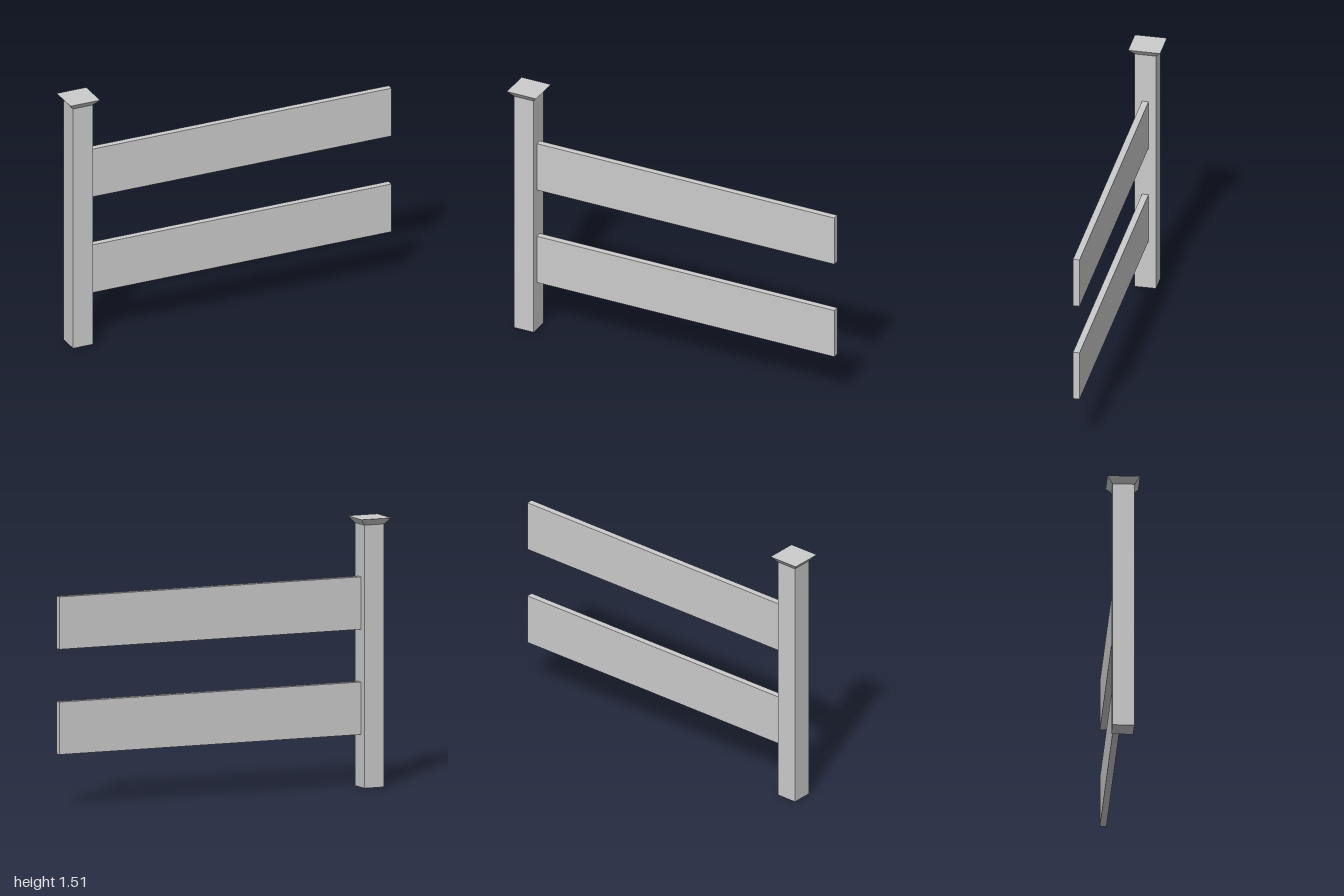
import * as THREE from 'three';

const material = new THREE.MeshStandardMaterial({ color: 0xcccccc, flatShading: true });

export function createModel() {
  const model = new THREE.Group();
  model.name = 'fenceSection';

  const add = (name, geometry, x, y) => {
    const mesh = new THREE.Mesh(geometry, material);
    mesh.name = name;
    mesh.position.set(x, y, 0);
    model.add(mesh);
  };

  const postX = -0.909, postWidth = 0.122, postHeight = 1.473;
  const capWidth = 0.182, capHeight = 0.036;

  // Square post
  add('post', new THREE.BoxGeometry(postWidth, postHeight, postWidth), postX, postHeight / 2);

  // Flared cap: a four-sided frustum, wider at its flat top
  const cap = new THREE.CylinderGeometry(capWidth * Math.SQRT1_2, postWidth * Math.SQRT1_2, capHeight, 4);
  cap.rotateY(Math.PI / 4);
  add('postCap', cap, postX, postHeight + capHeight / 2);

  // Two flat rails running from the post's side
  const railStart = postX + postWidth / 2;
  const railLength = 1 - railStart;
  for (const [name, y] of [['lowerRail', 0.443], ['upperRail', 1.032]]) {
    add(name, new THREE.BoxGeometry(railLength, 0.294, 0.037), railStart + railLength / 2, y);
  }

  return model;
}
